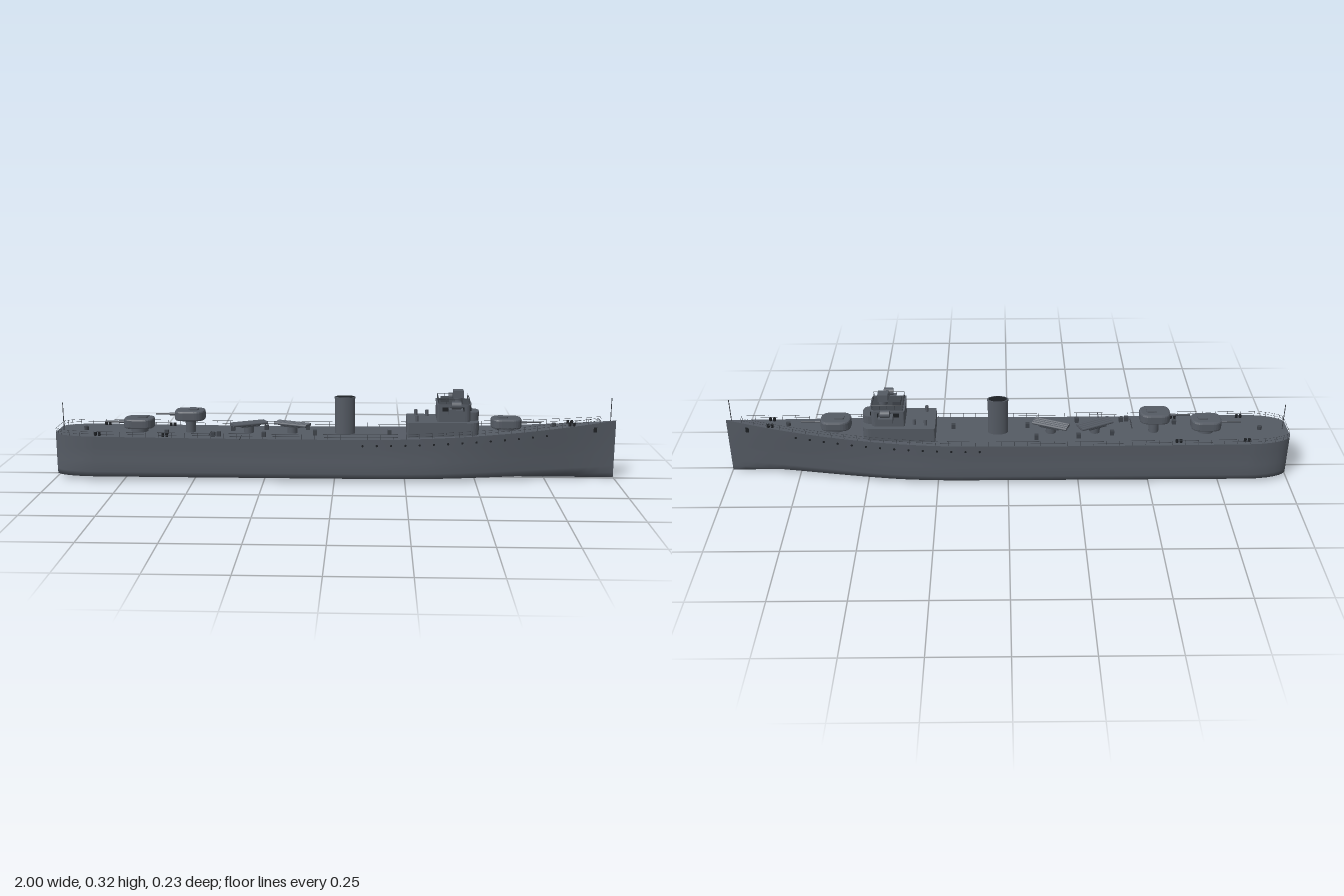
import * as THREE from 'three';

const paint = new THREE.MeshStandardMaterial({ color: 0x555b64 });
paint.name = 'hull grey';
const fitting = new THREE.MeshStandardMaterial({ color: 0x3f444b });
fitting.name = 'fitting grey';
const dark = new THREE.MeshStandardMaterial({ color: 0x1d2024 });
dark.name = 'dark';

// Half width of the deck and height of the deck edge along the ship
function halfWidth(x) {
  if (x < -0.85) {
    const t = Math.min(1, (-0.85 - x) / 0.15);
    return 0.045 + 0.0564 * Math.sqrt(1 - t * t);
  }
  if (x > 0.17) return 0.1014 * (1 - Math.min(1, (x - 0.17) / 0.83) ** 1.75);
  return 0.1014;
}
const deckY = (x) => (x < 0 ? 0.155 + 0.006 * x * x : 0.155 + 0.054 * x ** 2.2);
// How strongly the lower hull narrows towards the bow
const flare = (x) => Math.max(0, (x - 0.35) / 0.65) ** 1.4;

export function createModel() {
  const ship = new THREE.Group();
  ship.name = 'warship';
  const root = new THREE.Group();
  root.name = 'ship';
  root.position.z = -0.011;
  ship.add(root);

  const add = (name, geo, mat, x = 0, y = 0, z = 0, parent = root) => {
    const m = new THREE.Mesh(geo, mat);
    m.name = name;
    m.position.set(x, y, z);
    parent.add(m);
    return m;
  };
  const box = (name, w, h, d, x, y, z, mat = paint, parent = root) =>
    add(name, new THREE.BoxGeometry(w, h, d), mat, x, y, z, parent);
  const cyl = (name, r, h, x, y, z, mat = paint, parent = root, sides = 20) =>
    add(name, new THREE.CylinderGeometry(r, r, h, sides), mat, x, y, z, parent);
  // Thin round bar between two points
  const bar = (name, a, b, r, mat = paint, parent = root, sides = 5) => {
    const p = new THREE.Vector3(...a), q = new THREE.Vector3(...b);
    const m = cyl(name, r, p.distanceTo(q), 0, 0, 0, mat, parent, sides);
    m.position.copy(p).add(q).multiplyScalar(0.5);
    m.quaternion.setFromUnitVectors(new THREE.Vector3(0, 1, 0), q.sub(p).normalize());
    return m;
  };
  // Upright block with a rounded plan; front and back corners differ
  const block = (name, x0, x1, hw, y0, y1, rBack, rFront, bevel = 0, parent = root, mat = paint) => {
    const s = new THREE.Shape();
    const w = hw - bevel, a = x0 + bevel, b = x1 - bevel;
    s.moveTo(a + rBack, -w).lineTo(b - rFront, -w);
    s.quadraticCurveTo(b, -w, b, -w + rFront).lineTo(b, w - rFront);
    s.quadraticCurveTo(b, w, b - rFront, w).lineTo(a + rBack, w);
    s.quadraticCurveTo(a, w, a, w - rBack).lineTo(a, -w + rBack);
    s.quadraticCurveTo(a, -w, a + rBack, -w);
    const geo = new THREE.ExtrudeGeometry(s, {
      depth: y1 - y0 - 2 * bevel, curveSegments: 6, bevelEnabled: bevel > 0,
      bevelSize: bevel, bevelThickness: bevel, bevelSegments: 2,
    });
    geo.rotateX(-Math.PI / 2);
    return add(name, geo, mat, 0, y0 + bevel, 0, parent);
  };

  // Hull: cross-sections lofted from stern to bow
  const stations = [-1, -0.996, -0.985, -0.97, -0.95, -0.92, -0.88, -0.85];
  for (let i = 1; i <= 40; i++) stations.push(-0.85 + (1.85 * i) / 40);
  // [share of half width, share of height, narrowing near the bow]
  const profile = [[1, 1, 0], [0.997, 0.75, 0.14], [0.997, 0.52, 0.3], [1.014, 0.44, 0.35],
    [1.014, 0.2, 0.46], [0.985, 0.085, 0.5]];
  const section = (x) => {
    const w = halfWidth(x), h = deckY(x);
    const half = profile.map(([f, v, n]) => [x, v * h, w * f * (1 - n * flare(x))]);
    return [...half, [x, 0, 0], ...half.map(([a, b, c]) => [a, b, -c]).reverse()];
  };
  const rings = stations.map(section), n = rings[0].length;
  const surface = (points, index) => {
    const g = new THREE.BufferGeometry();
    g.setAttribute('position', new THREE.Float32BufferAttribute(points.flat(), 3));
    g.setIndex(index);
    g.computeVertexNormals();
    return g;
  };
  const hullIndex = [], deckIndex = [], capIndex = [];
  for (let i = 0; i < rings.length - 1; i++) {
    for (let j = 0; j < n - 1; j++) {
      const a = i * n + j, b = a + n;
      hullIndex.push(a, a + 1, b, b, a + 1, b + 1);
    }
    const l = i * 2;
    deckIndex.push(l, l + 2, l + 1, l + 1, l + 2, l + 3);
  }
  for (let j = 0; j < n; j++) capIndex.push(n, (j + 1) % n, j);
  add('hull', surface(rings.flat(), hullIndex), paint);
  add('deck', surface(rings.flatMap((r) => [r[0], r[n - 1]]), deckIndex), paint);
  add('transom', surface([...rings[0], [-1, 0.08, 0]], capIndex), paint);

  // Guard rails, portholes and anchors on both sides
  const railX = [-0.995, -0.985, -0.97, -0.94, -0.9];
  for (let x = -0.85; x < 0.99; x += 0.046) railX.push(x);
  for (const s of [1, -1]) {
    const edge = (x, up) => [x, deckY(x) + up, s * Math.max(0, halfWidth(x) - 0.003)];
    for (const x of railX) bar('railPost', edge(x, 0), edge(x, 0.018), 0.0007, fitting, root, 4);
    for (const up of [0.009, 0.018]) {
      const path = new THREE.CatmullRomCurve3(railX.map((x) => new THREE.Vector3(...edge(x, up))));
      add('guardRail', new THREE.TubeGeometry(path, 90, 0.0005, 4), fitting);
    }
    for (let x = 0.1; x < 0.76; x += 0.05) {
      const z = halfWidth(x) * (1 - 0.07 * flare(x));
      cyl('porthole', 0.004, 0.004, x, deckY(x) - 0.022, s * z, dark, root, 10).rotation.x = Math.PI / 2;
    }
    box('anchor', 0.012, 0.018, 0.006, 0.925, 0.177, s * 0.0135, dark);
    for (const x of [-0.84, -0.6, 0.84]) {
      const z = s * Math.min(0.083, halfWidth(x) - 0.009);
      for (const d of [-0.007, 0.007]) cyl('bollard', 0.005, 0.012, x + d, deckY(x) + 0.006, z, dark, root, 10);
    }
  }
  bar('sternRail', [-0.995, 0.179, 0.055], [-0.995, 0.179, -0.055], 0.0006, fitting);
  bar('ensignStaff', [-0.982, 0.16, 0], [-0.982, 0.26, 0], 0.0015, fitting);
  bar('jackStaff', [0.98, 0.2, 0], [0.98, 0.29, 0], 0.0015, fitting);

  // Gun turrets
  const turret = (name, x, y, dir, baseRadius) => {
    const g = new THREE.Group();
    g.name = name;
    g.position.set(x, y, 0);
    if (dir < 0) g.rotation.y = Math.PI;
    root.add(g);
    const drop = y - deckY(x) + 0.005;
    cyl('turretBase', baseRadius, drop, 0, -drop / 2 + 0.003, 0, paint, g, 24);
    block('gunHouse', -0.054, 0.054, 0.04, 0, 0.036, 0.03, 0.026, 0.006, g);
    block('roofHatch', -0.03, 0.005, 0.014, 0.035, 0.041, 0.006, 0.006, 0, g);
    box('gunSlot', 0.004, 0.018, 0.014, 0.053, 0.018, 0, dark, g);
    bar('gunBarrel', [0.03, 0.019, 0], [0.125, 0.019, 0], 0.003, fitting, g, 10);
    bar('gunSleeve', [0.03, 0.019, 0], [0.075, 0.019, 0], 0.005, paint, g, 10);
  };
  turret('bowTurret', 0.61, 0.181, 1, 0.03);
  turret('aftTurret', -0.705, 0.172, -1, 0.03);
  turret('raisedAftTurret', -0.52, 0.202, -1, 0.018);

  // Swivelling launcher tubes
  for (const [x, angle] of [[-0.31, 0.45], [-0.153, -0.4]]) {
    const g = new THREE.Group();
    g.name = 'tubeLauncher';
    g.position.set(x, 0.155, -0.002);
    g.rotation.y = angle;
    root.add(g);
    cyl('launcherBase', 0.018, 0.026, 0, 0.013, 0, paint, g);
    box('launcherBed', 0.07, 0.004, 0.044, 0, 0.026, 0, fitting, g);
    for (let i = -1.5; i <= 1.5; i++)
      bar('launchTube', [-0.064, 0.033, i * 0.0115], [0.064, 0.033, i * 0.0115], 0.0055, paint, g, 12);
  }

  // Funnel with an oval section and a dark mouth
  const oval = (name, r, h, y, mat) => {
    const m = cyl(name, r, h, 0.036, y, 0, mat, root, 28);
    m.scale.z = 0.58;
  };
  oval('funnel', 0.0355, 0.136, 0.22, paint);
  oval('funnelCap', 0.0375, 0.006, 0.286, paint);
  oval('funnelMouth', 0.032, 0.002, 0.289, dark);

  // Deckhouse and bridge tiers
  block('deckhouse', 0.256, 0.51, 0.073, 0.15, 0.212, 0.006, 0.03);
  block('bridgeFront', 0.43, 0.512, 0.037, 0.2, 0.242, 0.005, 0.03);
  block('bridge', 0.362, 0.48, 0.055, 0.21, 0.272, 0.006, 0.02);
  block('bridgeRoof', 0.36, 0.483, 0.057, 0.271, 0.274, 0.006, 0.02);
  block('bridgeFloor', 0.366, 0.477, 0.051, 0.274, 0.2755, 0.006, 0.02, 0, root, fitting);
  for (let i = -1; i <= 1; i++) box('bridgeWindow', 0.004, 0.014, 0.026, 0.48, 0.257, i * 0.029, dark);
  for (const s of [1, -1]) {
    for (let i = 0; i < 3; i++) box('sideWindow', 0.02, 0.014, 0.004, 0.39 + i * 0.028, 0.257, s * 0.0545, dark);
    // Wing platforms with signal lamps
    box('bridgeWing', 0.05, 0.02, 0.042, 0.425, 0.253, s * 0.073);
    cyl('lampStand', 0.004, 0.012, 0.425, 0.266, s * 0.08, fitting);
    bar('signalLamp', [0.41, 0.277, s * 0.08], [0.442, 0.277, s * 0.08], 0.0135, paint, root, 18);
    bar('lampGlass', [0.442, 0.277, s * 0.08], [0.443, 0.277, s * 0.08], 0.0115, fitting, root, 18);
    // Roof rail sides
    bar('roofRail', [0.367, 0.293, s * 0.05], [0.475, 0.293, s * 0.05], 0.0008, fitting);
    for (let i = 0; i < 5; i++)
      bar('roofPost', [0.367 + i * 0.027, 0.274, s * 0.05], [0.367 + i * 0.027, 0.293, s * 0.05], 0.0008, fitting);
  }
  for (const x of [0.367, 0.475]) {
    bar('roofRailEnd', [x, 0.293, -0.05], [x, 0.293, 0.05], 0.0008, fitting);
    for (const z of [-0.03, -0.015, 0.015, 0.03]) bar('roofPost', [x, 0.274, z], [x, 0.293, z], 0.0008, fitting);
  }
  cyl('directorBase', 0.016, 0.02, 0.438, 0.284, 0);
  box('director', 0.036, 0.026, 0.038, 0.438, 0.303, 0);
  box('chartTable', 0.028, 0.016, 0.04, 0.39, 0.282, 0, fitting);

  // Small deck fittings
  const lockers = [[-0.43, 0.07], [-0.41, 0.066], [-0.25, 0.065], [-0.37, -0.025], [-0.25, -0.045],
    [-0.07, 0.03], [0.195, 0.025], [-0.6, 0.045], [-0.1, -0.05]];
  for (const [x, z] of lockers) box('deckLocker', 0.014, 0.018, 0.014, x, 0.164, z, fitting);
  for (const [x, z] of [[0.29, 0.05], [0.29, -0.045], [0.33, -0.04]])
    cyl('ventilator', 0.006, 0.024, x, 0.222, z, paint, root, 12);
  cyl('capstan', 0.008, 0.014, 0.78, 0.191, 0, fitting, root, 14);
  cyl('aftCapstan', 0.008, 0.014, -0.9, 0.166, 0, fitting, root, 14);
  bar('boom', [-0.33, 0.159, 0.06], [-0.33, 0.159, 0.126], 0.0015, fitting);
  bar('stowedSpar', [-0.445, 0.16, 0.01], [-0.445, 0.16, 0.075], 0.002, fitting);

  return ship;
}
